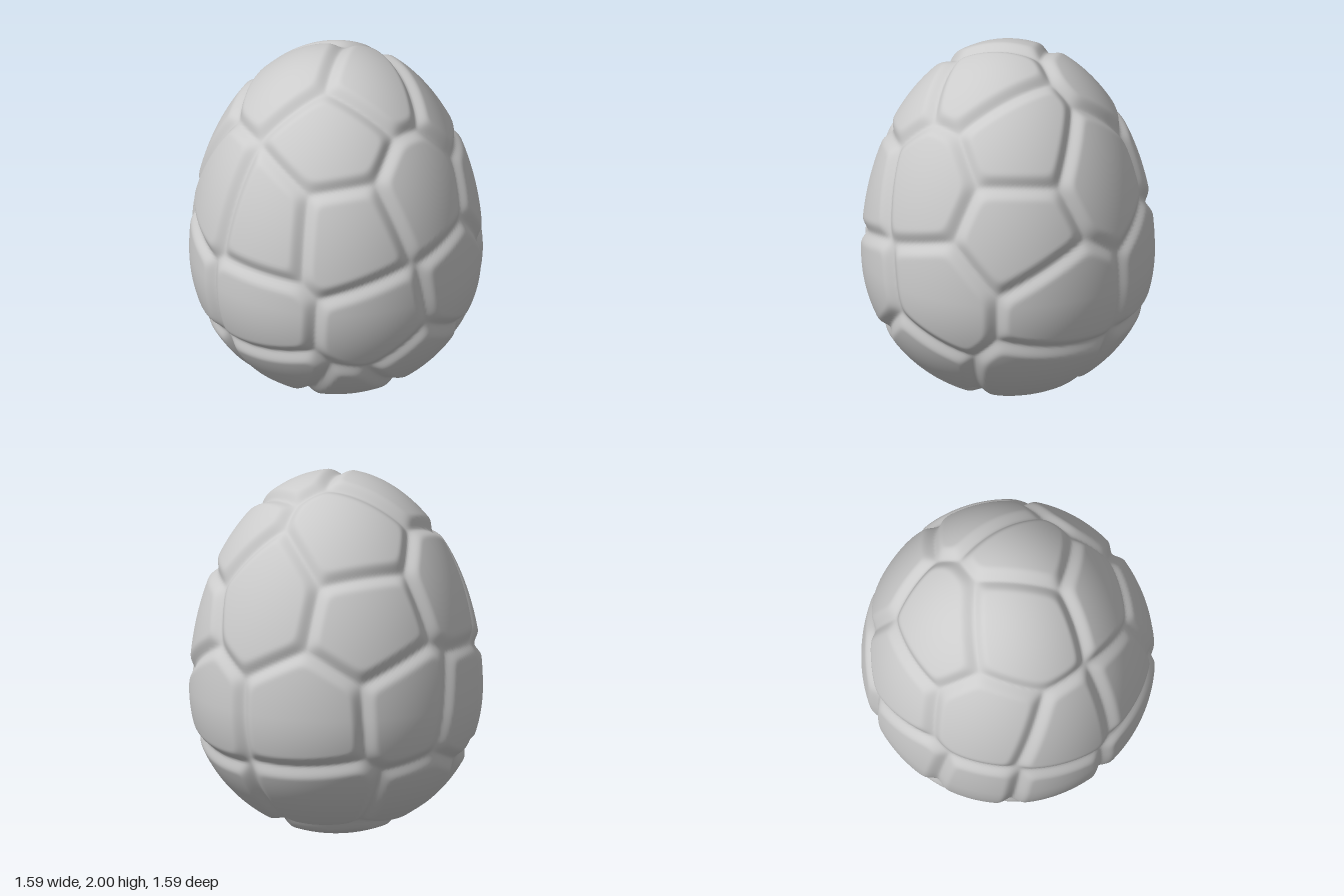
import * as THREE from 'three';
import { mergeVertices } from 'three/addons/utils/BufferGeometryUtils.js';

const RADIUS = 0.797, WAIST = 0.8, TOP = 1.2, BOTTOM = 0.8;
const GROOVE_WIDTH = 0.075, GROOVE_DEPTH = 0.036, ROUNDING = 0.016;

// Centres of the shell plates
const PLATES = [
  // crown
  [0, 1.88, 0.27], [-0.2, 1.9, -0.17], [-0.4, 1.7, 0.3], [0.28, 1.7, -0.36], [0.36, 1.63, 0.36],
  // upper ring
  [-0.07, 1.38, 0.66], [-0.5, 1.22, 0.48], [0.5, 1.2, 0.54], [0.64, 1.4, -0.03],
  [0.38, 1.32, -0.57], [-0.2, 1.43, -0.63], [-0.61, 1.28, -0.38], [-0.73, 1.25, 0.05],
  // middle ring
  [-0.43, 0.68, 0.65], [0.1, 0.78, 0.79], [0.68, 0.77, 0.38], [0.69, 0.78, -0.38],
  [0.22, 0.82, -0.76], [-0.2, 0.76, -0.76], [-0.58, 0.71, -0.54], [-0.78, 0.72, 0.03],
  // lower ring and base
  [-0.12, 0.36, 0.65], [0.5, 0.27, 0.36], [0.52, 0.28, -0.34], [0.04, 0.27, -0.6],
  [-0.4, 0.25, -0.42], [-0.58, 0.27, 0.08], [-0.35, 0.13, 0.36], [0.05, 0.03, -0.1],
];

// Unit direction to a point on the egg
function eggPoint(d) {
  return new THREE.Vector3(d.x * RADIUS, WAIST + d.y * (d.y > 0 ? TOP : BOTTOM), d.z * RADIUS);
}

// Outward normal of the egg
function eggNormal(d) {
  return new THREE.Vector3(d.x / RADIUS, d.y / (d.y > 0 ? TOP : BOTTOM), d.z / RADIUS).normalize();
}

const seeds = PLATES.map(([x, y, z]) => {
  const h = y > WAIST ? TOP : BOTTOM;
  return eggPoint(new THREE.Vector3(x / RADIUS, (y - WAIST) / h, z / RADIUS).normalize());
});

// Distance to the nearest plate border, with rounded plate corners
function borderDistance(p) {
  const dist = seeds.map((s) => s.distanceToSquared(p));
  const own = dist.indexOf(Math.min(...dist));
  let sum = 0;
  seeds.forEach((s, i) => {
    if (i === own) return;
    const edge = (dist[i] - dist[own]) / (2 * s.distanceTo(seeds[own]));
    sum += Math.exp(-edge / ROUNDING);
  });
  return -ROUNDING * Math.log(sum);
}

export function createModel() {
  const sphere = new THREE.IcosahedronGeometry(1, 72);
  sphere.deleteAttribute('uv');
  sphere.deleteAttribute('normal');
  const geometry = mergeVertices(sphere, 1e-5);
  const pos = geometry.attributes.position;
  const d = new THREE.Vector3();

  // Shape the egg and press the grooves in between the plates
  for (let i = 0; i < pos.count; i++) {
    d.fromBufferAttribute(pos, i).normalize();
    const p = eggPoint(d);
    const groove = 1 - THREE.MathUtils.smoothstep(borderDistance(p), -0.012, GROOVE_WIDTH);
    p.addScaledVector(eggNormal(d), -GROOVE_DEPTH * groove);
    pos.setXYZ(i, p.x, p.y, p.z);
  }
  geometry.computeVertexNormals();

  const shell = new THREE.Mesh(geometry, new THREE.MeshStandardMaterial({ color: 0xcccccc }));
  shell.name = 'eggShell';
  const group = new THREE.Group();
  group.name = 'crackedEgg';
  group.add(shell);
  return group;
}
